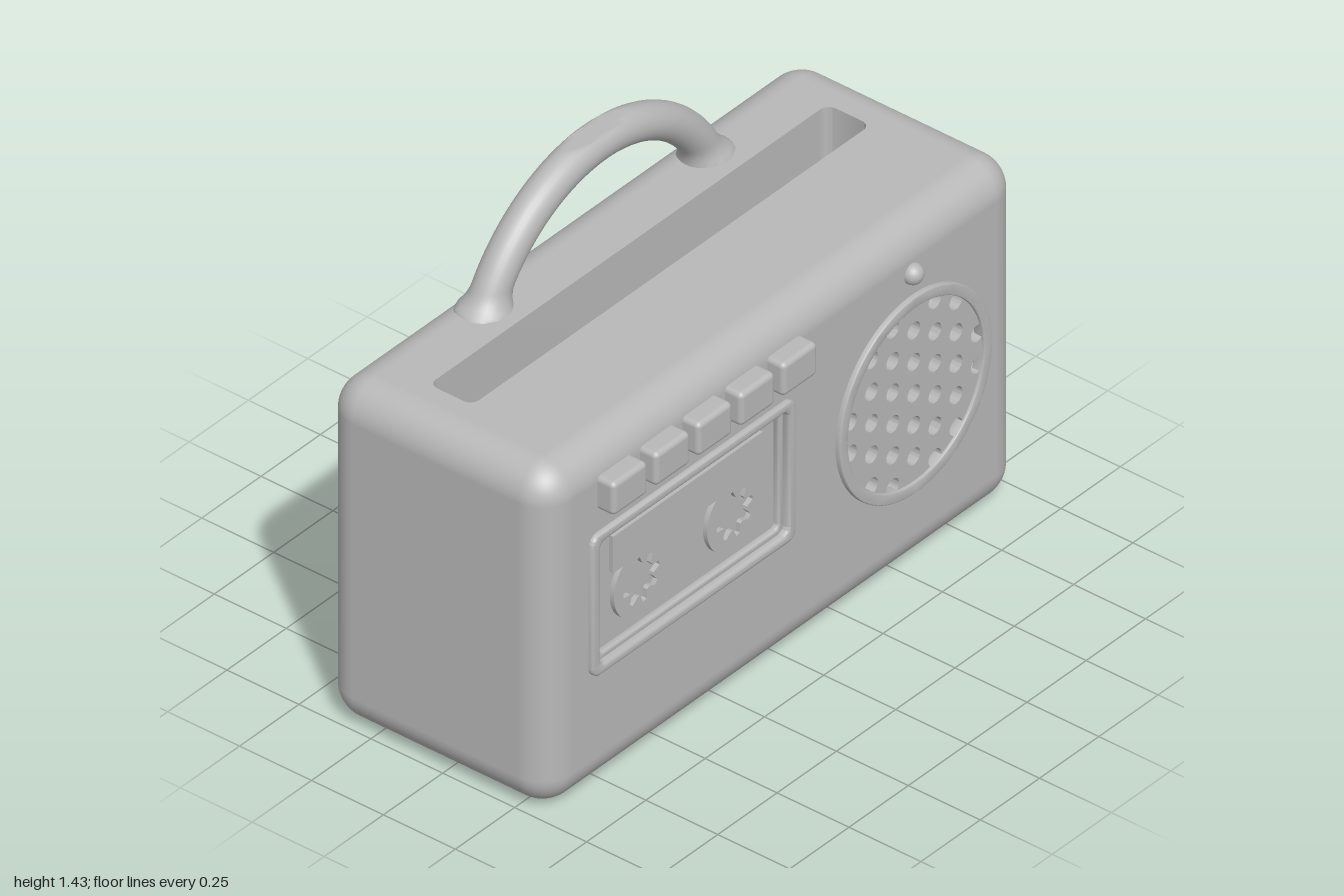
import * as THREE from 'three';
import { toCreasedNormals } from 'three/addons/utils/BufferGeometryUtils.js';
import { RoundedBoxGeometry } from 'three/addons/geometries/RoundedBoxGeometry.js';

const W = 2, H = 1.11, D = 0.785, R = 0.105;
const FRONT = 0.365, BACK = FRONT - D;
const grey = new THREE.MeshStandardMaterial({ color: 0xb8b8b8 });
grey.name = 'grey plastic';

// Rounded rectangle between two corners, as a Shape or a hole Path
function roundRect(x0, y0, x1, y1, r, Type = THREE.Shape) {
  const s = new Type();
  s.moveTo(x0 + r, y0);
  s.lineTo(x1 - r, y0);
  s.absarc(x1 - r, y0 + r, r, -Math.PI / 2, 0, false);
  s.lineTo(x1, y1 - r);
  s.absarc(x1 - r, y1 - r, r, 0, Math.PI / 2, false);
  s.lineTo(x0 + r, y1);
  s.absarc(x0 + r, y1 - r, r, Math.PI / 2, Math.PI, false);
  s.lineTo(x0, y0 + r);
  s.absarc(x0 + r, y0 + r, r, Math.PI, Math.PI * 1.5, false);
  return s;
}

function circle(x, y, r, Type = THREE.Path) {
  const s = new Type();
  s.absarc(x, y, r, 0, Math.PI * 2, false);
  return s;
}

// Extrusion from z0 to z1 with an optional rounded edge inside the outline
function slab(shape, z0, z1, bevel = 0, curveSegments = 12) {
  const g = new THREE.ExtrudeGeometry(shape, {
    depth: z1 - z0 - 2 * bevel, curveSegments, bevelEnabled: bevel > 0,
    bevelThickness: bevel, bevelSize: bevel, bevelOffset: -bevel, bevelSegments: 3,
  });
  g.translate(0, 0, z0 + bevel);
  return toCreasedNormals(g, 0.6);
}

// Rounded shell without its flat top and front, which are cut panels
function shellGeometry() {
  const box = new RoundedBoxGeometry(W, H, D, 6, R);
  box.translate(0, H / 2, FRONT - D / 2);
  const p = box.attributes.position, n = box.attributes.normal;
  const pos = [], nor = [];
  for (let i = 0; i < p.count; i += 3) {
    const ids = [i, i + 1, i + 2];
    if (ids.every(k => p.getY(k) > H - 1e-4) || ids.every(k => p.getZ(k) > FRONT - 1e-4)) continue;
    for (const k of ids) {
      pos.push(p.getX(k), p.getY(k), p.getZ(k));
      nor.push(n.getX(k), n.getY(k), n.getZ(k));
    }
  }
  const g = new THREE.BufferGeometry();
  g.setAttribute('position', new THREE.Float32BufferAttribute(pos, 3));
  g.setAttribute('normal', new THREE.Float32BufferAttribute(nor, 3));
  return g;
}

// Arched handle: flattened on top, flared where it meets the body
function handleGeometry() {
  const pts = [];
  const r = 0.518, cy = 0.877, a0 = Math.asin((1.05 - cy) / r);
  for (let i = 0; i <= 24; i++) {
    const a = Math.PI - a0 - (Math.PI - 2 * a0) * i / 24;
    pts.push(new THREE.Vector3(r * Math.cos(a), cy + r * Math.sin(a), -0.295));
  }
  const curve = new THREE.CatmullRomCurve3(pts), segs = 96, sides = 28;
  const g = new THREE.TubeGeometry(curve, segs, 0.055, sides);
  const p = g.attributes.position, v = new THREE.Vector3();
  for (let i = 0; i < p.count; i++) {
    const c = curve.getPointAt(Math.floor(i / (sides + 1)) / segs);
    v.fromBufferAttribute(p, i);
    const t = THREE.MathUtils.clamp((1.165 - v.y) / 0.06, 0, 1);
    v.sub(c).multiplyScalar(1 + 0.45 * t * t).add(c);
    p.setXYZ(i, v.x, Math.min(v.y, 1.435), v.z);
  }
  return toCreasedNormals(g, 0.6);
}

export function createModel() {
  const model = new THREE.Group();
  model.name = 'cassetteRadio';
  const add = (name, geometry, parent = model) => {
    const m = new THREE.Mesh(geometry, grey);
    m.name = name;
    parent.add(m);
    return m;
  };
  const SX = 0.535, SY = 0.575;

  // Body
  add('bodyShell', shellGeometry());
  const front = roundRect(-W / 2 + R, R, W / 2 - R, H - R, 0.0001);
  front.holes.push(roundRect(-0.79, 0.41, 0, 0.815, 0.025, THREE.Path), circle(SX, SY, 0.312));
  add('frontPanel', slab(front, FRONT - 0.03, FRONT, 0, 32));

  // Top panel with the long slot
  const top = roundRect(-W / 2 + R, -(FRONT - R), W / 2 - R, -(BACK + R), 0.0001);
  top.holes.push(roundRect(-0.84, 0.03, 0.84, 0.18, 0.03, THREE.Path));
  const slotDepth = 0.3;
  add('topPanel', slab(top, -slotDepth, 0)).rotation.x = -Math.PI / 2;
  model.children.at(-1).position.y = H;
  const slotFloor = add('slotFloor', new THREE.BoxGeometry(1.7, 0.02, 0.17));
  slotFloor.position.set(0, H - slotDepth - 0.01, -0.105);

  // Carrying handle
  add('handle', handleGeometry());

  // Cassette window
  const deck = new THREE.Group();
  deck.name = 'cassetteDeck';
  model.add(deck);
  add('deckFloor', slab(roundRect(-0.8, 0.4, 0.01, 0.825, 0.02), 0.32, 0.34), deck);
  const frame = roundRect(-0.828, 0.38, 0.032, 0.845, 0.035);
  frame.holes.push(roundRect(-0.795, 0.41, 0.0, 0.815, 0.025, THREE.Path));
  add('deckFrame', slab(frame, 0.345, 0.38, 0.008), deck);
  const inner = roundRect(-0.8, 0.405, 0.005, 0.82, 0.02);
  inner.holes.push(roundRect(-0.772, 0.428, -0.018, 0.797, 0.015, THREE.Path));
  add('deckInnerFrame', slab(inner, 0.335, 0.358, 0.006), deck);

  // Raised cassette outline: a bar joined to two toothed reels
  const reels = [-0.593, -0.2], RY = 0.575, RR = 0.115, join = 0.66;
  const jy = join - RY, jx = Math.sqrt(RR * RR - jy * jy), ja = Math.atan2(jy, jx);
  const tape = new THREE.Shape();
  tape.moveTo(-0.712, 0.78);
  tape.lineTo(-0.712, join);
  tape.lineTo(reels[0] - jx, join);
  tape.absarc(reels[0], RY, RR, Math.PI - ja, Math.PI * 2 + ja, false);
  tape.lineTo(reels[1] - jx, join);
  tape.absarc(reels[1], RY, RR, Math.PI - ja, Math.PI * 2 + ja, false);
  tape.lineTo(-0.081, join);
  tape.lineTo(-0.081, 0.78);
  tape.closePath();
  for (const x of reels) {
    const gear = new THREE.Path(), teeth = 8;
    for (let i = 0; i < teeth * 4; i++) {
      const a = (i + 0.5) / (teeth * 4) * Math.PI * 2;
      const r = i % 4 < 2 ? 0.077 : 0.052;
      gear[i ? 'lineTo' : 'moveTo'](x + r * Math.cos(a), RY + r * Math.sin(a));
    }
    gear.closePath();
    tape.holes.push(gear);
  }
  add('cassette', slab(tape, 0.335, 0.355, 0, 24), deck);

  // Speaker: perforated grille in a raised ring
  const speaker = new THREE.Group();
  speaker.name = 'speaker';
  model.add(speaker);
  add('speakerFloor', slab(circle(SX, SY, 0.33, THREE.Shape), 0.31, 0.335, 0, 32), speaker);
  const ring = circle(SX, SY, 0.322, THREE.Shape);
  ring.holes.push(circle(SX, SY, 0.287));
  add('speakerRing', slab(ring, 0.345, 0.381, 0.004, 48), speaker);
  const grille = circle(SX, SY, 0.312, THREE.Shape);
  const dx = 0.089, dy = 0.1035, hole = 0.027;
  for (let c = -3; c <= 3; c++) {
    for (let k = -3; k <= 3; k++) {
      const x = c * dx, y = (k + (c % 2 ? 0.5 : 0)) * dy;
      if (Math.hypot(x, y) < 0.283) grille.holes.push(circle(SX + x, SY + y, hole));
    }
  }
  add('speakerGrille', slab(grille, 0.335, 0.372, 0, 16), speaker);

  // Row of push buttons
  for (let i = 0; i < 5; i++) {
    const b = add('button', new RoundedBoxGeometry(0.146, 0.108, 0.1, 3, 0.016));
    b.position.set(-0.717 + i * 0.179, 0.969, 0.372);
  }

  // Indicator lamp
  add('indicatorLamp', new THREE.SphereGeometry(0.032, 24, 16)).position.set(SX, 0.969, 0.368);

  return model;
}
